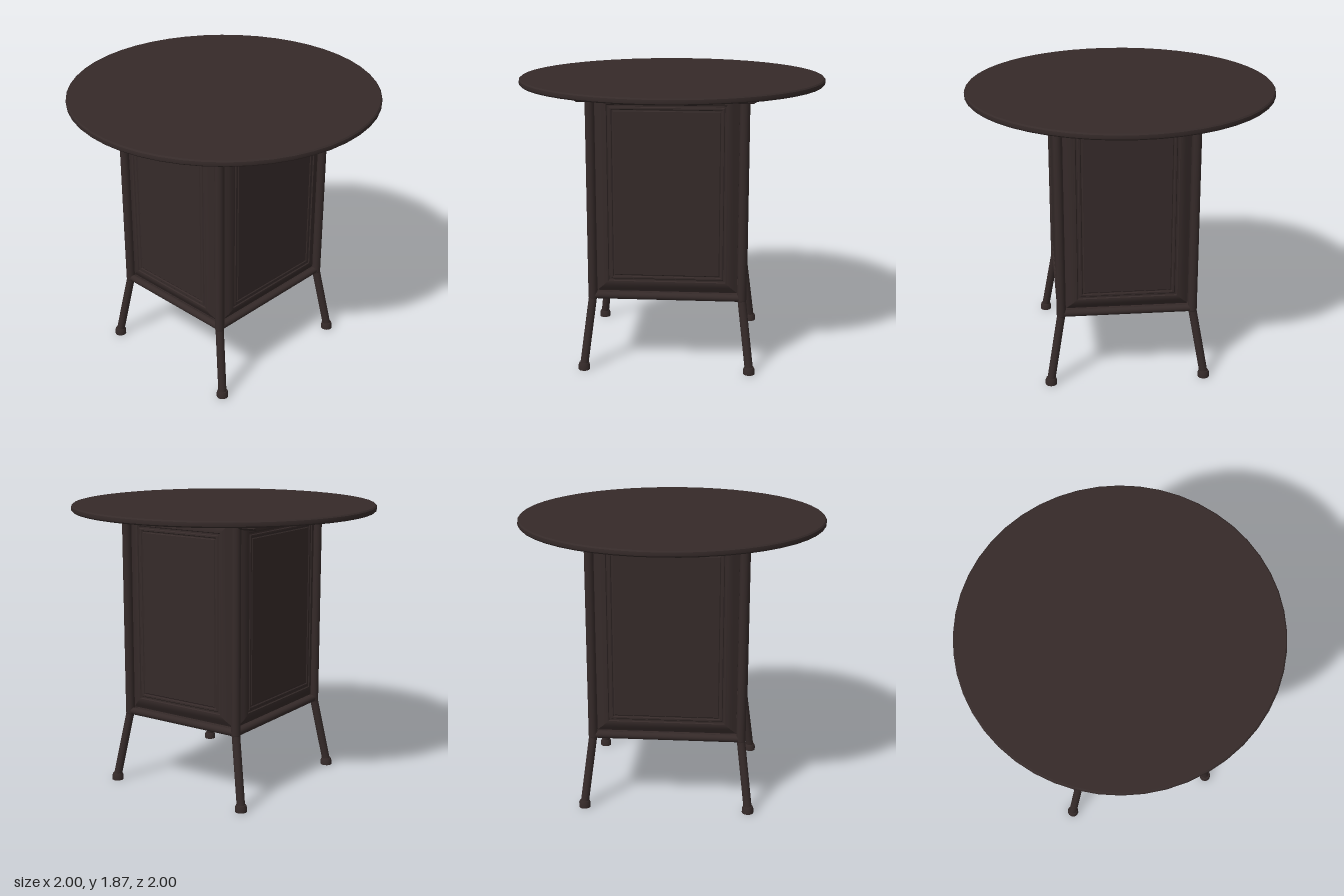
import * as THREE from 'three';
import { toCreasedNormals } from 'three/addons/utils/BufferGeometryUtils.js';

const POST_X = 0.43, POST_Z = 0.485, FRAME_Y = 0.49, TOP_Y = 1.83;
const V = (x, y, z) => new THREE.Vector3(x, y, z);

export function createModel() {
  const table = new THREE.Group();
  table.name = 'table';
  const wood = new THREE.MeshStandardMaterial({ color: 0x352a29 });
  wood.name = 'dark brown';

  function add(name, geometry, parent = table) {
    const mesh = new THREE.Mesh(geometry, wood);
    mesh.name = name;
    parent.add(mesh);
    return mesh;
  }

  // Round bar between two points
  function bar(name, a, b, radius) {
    const dir = b.clone().sub(a);
    const mesh = add(name, new THREE.CylinderGeometry(radius, radius, dir.length(), 16));
    mesh.position.copy(a).add(b).multiplyScalar(0.5);
    mesh.quaternion.setFromUnitVectors(V(0, 1, 0), dir.normalize());
    return mesh;
  }

  function lathe(points, segments) {
    const profile = points.map(([r, y]) => new THREE.Vector2(r, y));
    return toCreasedNormals(new THREE.LatheGeometry(profile, segments), 0.6);
  }

  // Raised panel: nested rectangles of [inset, depth], facing +z
  function panelGeometry(width, height) {
    const steps = [[0, -0.02], [0, 0], [0.015, 0.008], [0.04, 0.024], [0.065, 0.032],
      [0.075, 0.032], [0.08, 0.026], [0.09, 0.026], [0.095, 0.031],
      [0.105, 0.031], [0.11, 0.026], [0.115, 0.026], [0.12, 0.03]];
    const rings = steps.map(([inset, z]) => {
      const x = width / 2 - inset, y = height / 2 - inset;
      return [[-x, -y, z], [x, -y, z], [x, y, z], [-x, y, z]];
    });
    const pos = [];
    const quad = (a, b, c, d) => pos.push(...a, ...b, ...c, ...a, ...c, ...d);
    for (let i = 0; i < rings.length - 1; i++) {
      for (let k = 0; k < 4; k++) {
        const n = (k + 1) % 4;
        quad(rings[i][k], rings[i][n], rings[i + 1][n], rings[i + 1][k]);
      }
    }
    quad(...rings[rings.length - 1]);
    quad(...rings[0].slice().reverse());
    const geometry = new THREE.BufferGeometry();
    geometry.setAttribute('position', new THREE.Float32BufferAttribute(pos, 3));
    geometry.computeVertexNormals();
    return toCreasedNormals(geometry, 0.4);
  }

  // Round table top with a softened rim
  add('tableTop', lathe([[0, TOP_Y], [0.99, TOP_Y], [0.998, 1.838], [1, 1.85],
    [0.998, 1.862], [0.99, 1.87], [0, 1.87]], 48));

  // Corner posts, splayed legs and feet
  for (const sx of [-1, 1]) {
    for (const sz of [-1, 1]) {
      const knee = V(sx * POST_X, 0.48, sz * POST_Z);
      const ankle = V(sx * 0.508, 0.03, sz * 0.54);
      bar('post', knee, V(knee.x, TOP_Y, knee.z), 0.03);
      bar('leg', knee, ankle, 0.027);
      add('legJoint', new THREE.SphereGeometry(0.03, 16, 10)).position.copy(knee);
      add('foot', lathe([[0, 0], [0.038, 0], [0.038, 0.03], [0.032, 0.045], [0, 0.045]], 16))
        .position.set(ankle.x, 0, ankle.z);
    }
  }

  // Lower rails and cabinet floor
  for (const s of [-1, 1]) {
    bar('crossRail', V(-POST_X, FRAME_Y, s * POST_Z), V(POST_X, FRAME_Y, s * POST_Z), 0.024);
    bar('sideRail', V(s * POST_X, FRAME_Y, -POST_Z), V(s * POST_X, FRAME_Y, POST_Z), 0.024);
  }
  add('floor', new THREE.BoxGeometry(POST_X * 2, 0.02, POST_Z * 2)).position.y = FRAME_Y;

  // Four raised panels
  const panelY = (0.52 + 1.823) / 2, panelH = 1.823 - 0.52;
  const frontPanel = panelGeometry(0.798, panelH);
  const sidePanel = panelGeometry(0.908, panelH);
  for (const s of [-1, 1]) {
    const front = add(s > 0 ? 'frontPanel' : 'backPanel', frontPanel);
    front.position.set(0, panelY, s * 0.475);
    front.rotation.y = s > 0 ? 0 : Math.PI;
    const side = add(s > 0 ? 'leftPanel' : 'rightPanel', sidePanel);
    side.position.set(s * 0.42, panelY, 0);
    side.rotation.y = s * Math.PI / 2;
  }

  // Bearers under the top, tapered at their ends
  const outline = new THREE.Shape([[-0.54, 1.785], [0.54, 1.785], [0.565, 1.8],
    [0.565, TOP_Y], [-0.565, TOP_Y], [-0.565, 1.8]].map(([x, y]) => new THREE.Vector2(x, y)));
  const bearer = new THREE.ExtrudeGeometry(outline, {
    depth: 0.11, bevelThickness: 0.008, bevelSize: 0.006, bevelOffset: -0.006, bevelSegments: 2,
  });
  bearer.translate(0, 0, -0.055);
  for (const s of [-1, 1]) {
    const mesh = add('bearer', bearer);
    mesh.position.x = s * 0.552;
    mesh.rotation.y = Math.PI / 2;
    add('bearerPlate', new THREE.BoxGeometry(0.135, 0.008, 1.18)).position.set(s * 0.552, 1.826, 0);
  }

  return table;
}
